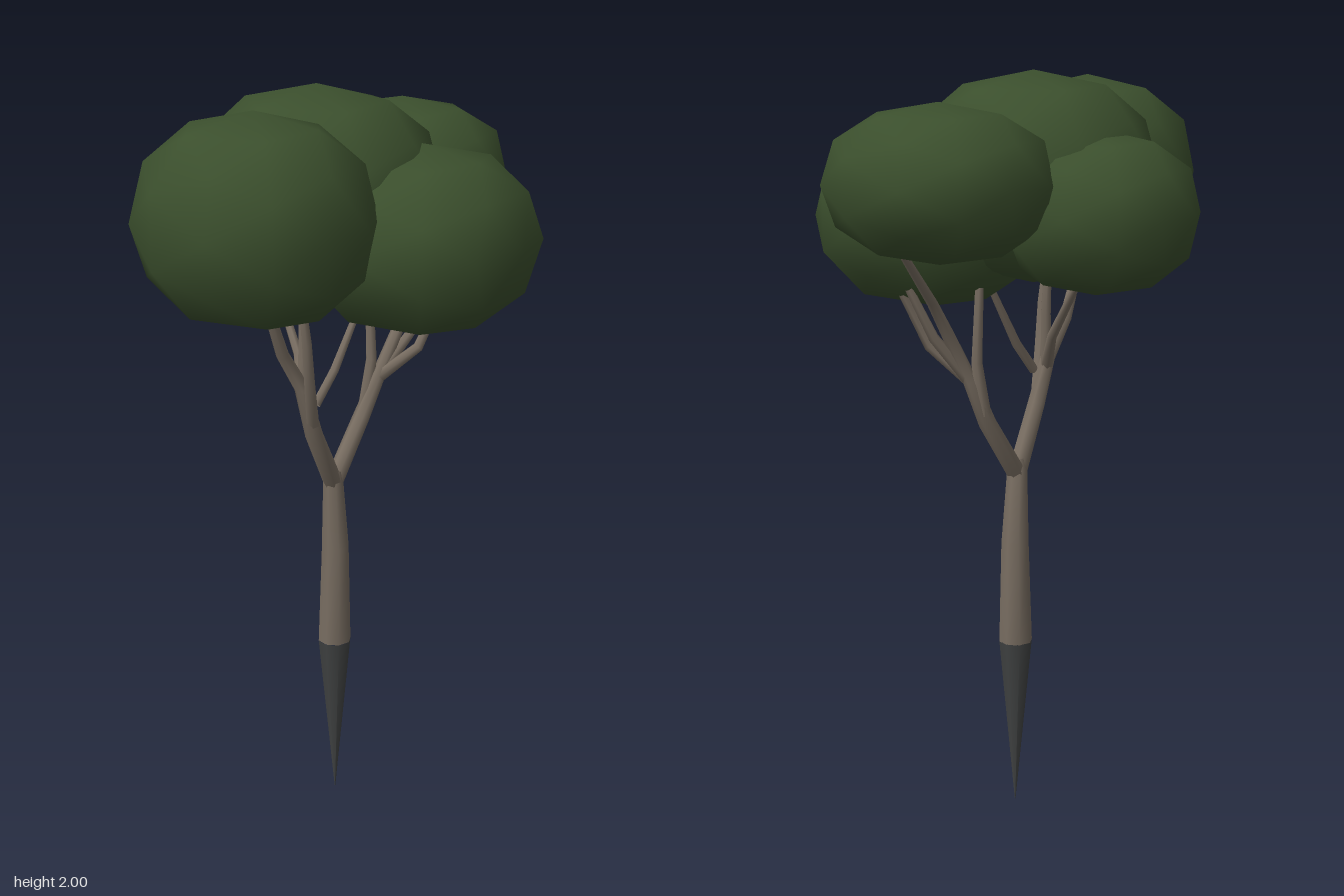
import * as THREE from 'three';
import { mergeVertices } from 'three/addons/utils/BufferGeometryUtils.js';

const bark = new THREE.MeshStandardMaterial({ color: 0x786d61, side: THREE.DoubleSide });
const rootBark = new THREE.MeshStandardMaterial({ color: 0x404242 });
const leaf = new THREE.MeshStandardMaterial({ color: 0x3b4f2d });

// Tapered limb swept through points given as [x, y, z, radius]
function limb(name, points, material = bark, sides = 7) {
  const centres = points.map(p => new THREE.Vector3(p[0], p[1], p[2]));
  const positions = [], index = [];
  centres.forEach((c, i) => {
    const before = centres[Math.max(i - 1, 0)];
    const after = centres[Math.min(i + 1, centres.length - 1)];
    const t = after.clone().sub(before).normalize();
    const u = new THREE.Vector3(1, 0, 0).addScaledVector(t, -t.x).normalize();
    const v = t.clone().cross(u);
    for (let j = 0; j < sides; j++) {
      const a = (j / sides) * Math.PI * 2;
      const p = c.clone()
        .addScaledVector(u, Math.cos(a) * points[i][3])
        .addScaledVector(v, Math.sin(a) * points[i][3]);
      positions.push(p.x, p.y, p.z);
      if (i < centres.length - 1) {
        const k = (j + 1) % sides;
        const a0 = i * sides + j, b0 = i * sides + k;
        index.push(a0, b0, b0 + sides, a0, b0 + sides, a0 + sides);
      }
    }
  });
  const geometry = new THREE.BufferGeometry();
  geometry.setAttribute('position', new THREE.Float32BufferAttribute(positions, 3));
  geometry.setIndex(index);
  geometry.computeVertexNormals();
  const mesh = new THREE.Mesh(geometry, material);
  mesh.name = name;
  return mesh;
}

// Low-poly ball, bulged a little towards a box, with smooth shading
function foliage(name, centre, radii, turn) {
  const ball = new THREE.IcosahedronGeometry(1, 1).rotateY(turn);
  ball.deleteAttribute('normal');
  ball.deleteAttribute('uv');
  const geometry = mergeVertices(ball, 1e-3);
  const position = geometry.attributes.position;
  const bulge = c => Math.sign(c) * Math.abs(c) ** 0.9;
  for (let i = 0; i < position.count; i++) {
    position.setXYZ(i, bulge(position.getX(i)), bulge(position.getY(i)), bulge(position.getZ(i)));
  }
  geometry.scale(...radii);
  geometry.translate(...centre);
  geometry.computeVertexNormals();
  const mesh = new THREE.Mesh(geometry, leaf);
  mesh.name = name;
  return mesh;
}

export function createModel() {
  const tree = new THREE.Group();
  tree.name = 'tree';

  // Pointed root and trunk
  tree.add(limb('root', [[0, 0, -0.025, 0.001], [0, 0.47, -0.022, 0.046]], rootBark, 8));
  tree.add(limb('trunk', [
    [0, 0.47, -0.022, 0.046], [0, 0.75, -0.025, 0.038],
    [0.003, 0.95, -0.008, 0.028], [0.005, 0.98, -0.008, 0.02],
  ], bark, 8));

  // Two main boughs
  tree.add(limb('frontBough', [
    [0.003, 0.94, -0.01, 0.026], [0.008, 1.11, 0.1, 0.024],
    [-0.02, 1.24, 0.115, 0.02], [-0.04, 1.34, 0.175, 0.017], [-0.05, 1.51, 0.245, 0.012],
  ]));
  tree.add(limb('backBough', [
    [0.003, 0.94, -0.01, 0.026], [0.025, 1.1, -0.125, 0.024],
    [0.06, 1.21, -0.15, 0.02], [0.09, 1.34, -0.21, 0.017],
    [0.09, 1.43, -0.28, 0.014], [0.09, 1.58, -0.42, 0.01],
  ]));

  // Thinner branches reaching into the foliage
  const branches = [
    [[-0.02, 1.22, 0.11, 0.017], [-0.07, 1.31, 0.05, 0.013], [-0.21, 1.49, -0.05, 0.009]],
    [[-0.02, 1.22, 0.11, 0.018], [-0.025, 1.36, 0.095, 0.015], [-0.035, 1.52, 0.09, 0.011]],
    [[0.005, 1.13, 0.1, 0.019], [0.025, 1.26, 0.15, 0.016], [0.035, 1.38, 0.18, 0.014], [0.03, 1.5, 0.195, 0.01]],
    [[0.02, 1.2, 0.11, 0.013], [0.04, 1.28, 0.05, 0.013], [0.07, 1.45, -0.04, 0.009]],
    [[0.03, 1.12, -0.13, 0.02], [0.04, 1.26, -0.15, 0.016], [0.03, 1.48, -0.15, 0.012]],
    [[0.06, 1.21, -0.15, 0.018], [0.16, 1.3, -0.19, 0.015], [0.2, 1.44, -0.25, 0.011]],
    [[0.06, 1.21, -0.15, 0.018], [0.12, 1.33, -0.23, 0.014], [0.16, 1.46, -0.28, 0.011]],
  ];
  branches.forEach((points, i) => tree.add(limb(`branch${i + 1}`, points, bark, 6)));

  // Overlapping foliage clumps
  tree.add(
    foliage('frontFoliage', [-0.01, 1.72, 0.345], [0.298, 0.262, 0.272], 0.1),
    foliage('backFoliage', [0.01, 1.735, -0.365], [0.29, 0.195, 0.255], 0.15),
    foliage('centreFoliage', [-0.05, 1.73, -0.015], [0.33, 0.27, 0.295], 0.3),
    foliage('leftFoliage', [0.22, 1.625, -0.07], [0.303, 0.24, 0.31], -0.08),
    foliage('rightFoliage', [-0.265, 1.655, -0.07], [0.26, 0.206, 0.238], 0.1),
  );
  return tree;
}
